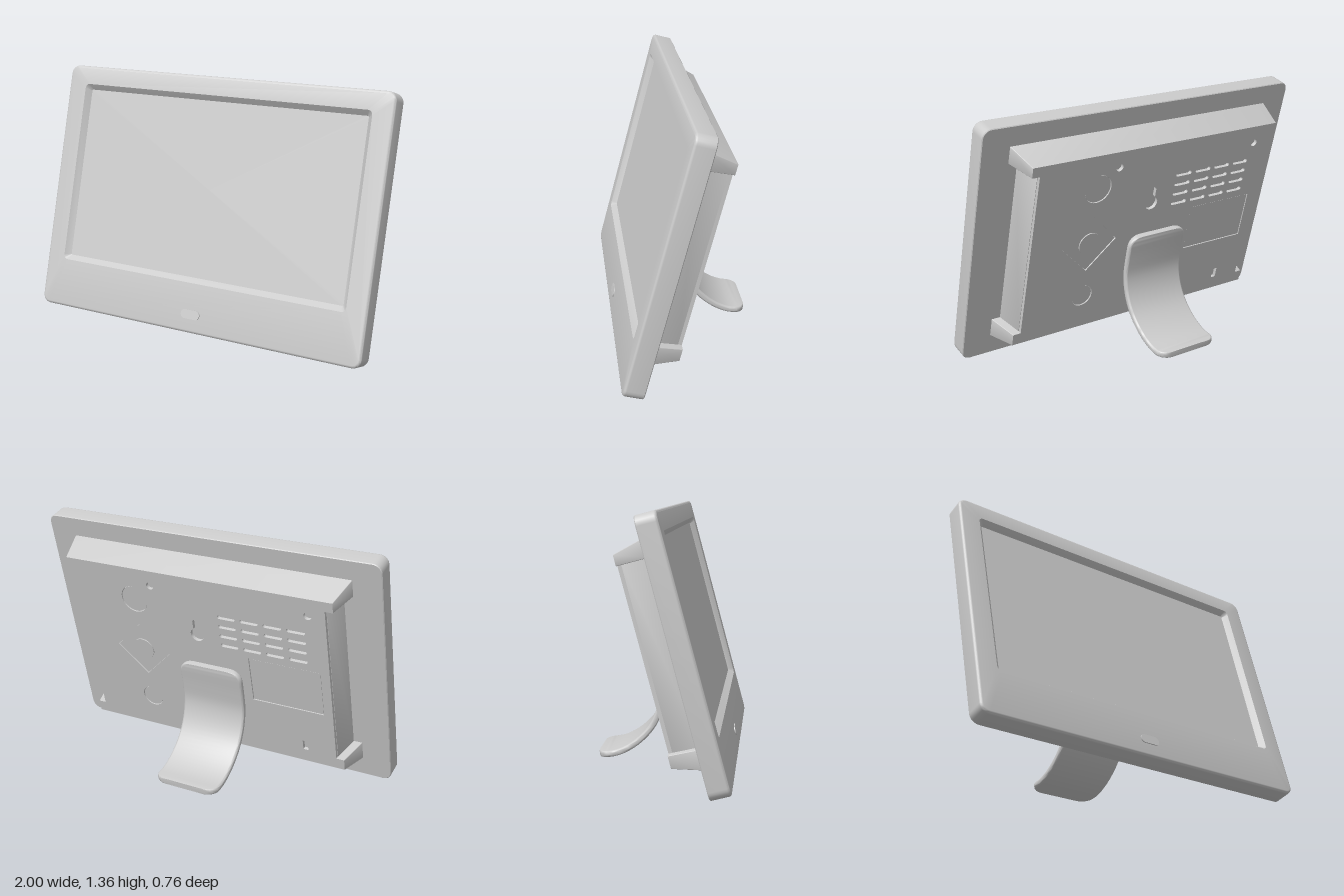
import * as THREE from 'three';
import { toCreasedNormals } from 'three/addons/utils/BufferGeometryUtils.js';

const material = new THREE.MeshStandardMaterial({ color: 0xcccccc });

function add(parent, name, geometry) {
  const mesh = new THREE.Mesh(geometry, material);
  mesh.name = name;
  parent.add(mesh);
  return mesh;
}

// Skin a series of closed rings (equal point counts) and cap both ends
function skin(rings) {
  const n = rings[0].length, pos = [], index = [];
  const center = (ring) => ring.reduce((s, p) => s.add(p), new THREE.Vector3()).divideScalar(n);
  rings.forEach((ring) => ring.forEach((p) => pos.push(p.x, p.y, p.z)));
  const last = rings.length - 1, c0 = rings.length * n, c1 = c0 + 1;
  for (const c of [center(rings[0]), center(rings[last])]) pos.push(c.x, c.y, c.z);
  for (let i = 0; i < n; i++) {
    const j = (i + 1) % n;
    for (let k = 0; k < last; k++) {
      const a = k * n + i, b = k * n + j;
      index.push(a, b, b + n, a, b + n, a + n);
    }
    index.push(c0, j, i, c1, last * n + i, last * n + j);
  }
  const g = new THREE.BufferGeometry();
  g.setAttribute('position', new THREE.Float32BufferAttribute(pos, 3));
  g.setIndex(index);
  return toCreasedNormals(g, 0.6);
}

// Rounded rectangle ring: half width, bottom, top, corner radius, depth
function rectRing(hw, y0, y1, r, z) {
  const ring = [], steps = 6;
  const corners = [[hw - r, y1 - r], [r - hw, y1 - r], [r - hw, y0 + r], [hw - r, y0 + r]];
  corners.forEach(([cx, cy], q) => {
    for (let s = 0; s <= steps; s++) {
      const a = (q + s / steps) * Math.PI / 2;
      ring.push(new THREE.Vector3(cx + r * Math.cos(a), cy + r * Math.sin(a), z));
    }
  });
  return ring;
}

// Flat outlines used for holes and inlays
function polygon(points) {
  return new THREE.Shape(points.map(([x, y]) => new THREE.Vector2(x, y)));
}
function rect(x0, y0, x1, y1) {
  return polygon([[x0, y0], [x1, y0], [x1, y1], [x0, y1]]);
}
function circle(x, y, r) {
  return new THREE.Shape().absarc(x, y, r, 0, Math.PI * 2);
}
function pill(x, y, length, height) {
  const r = height / 2, h = length / 2 - r;
  return new THREE.Shape()
    .absarc(x + h, y, r, -Math.PI / 2, Math.PI / 2)
    .absarc(x - h, y, r, Math.PI / 2, Math.PI * 1.5);
}
function keyhole(x, y) {
  return new THREE.Shape()
    .absarc(x, y - 0.025, 0.04, Math.PI * 0.65, Math.PI * 2.35)
    .absarc(x, y + 0.055, 0.018, 0, Math.PI);
}
function extrude(shape, depth, z) {
  return new THREE.ExtrudeGeometry(shape, { depth, bevelEnabled: false, curveSegments: 16 })
    .translate(0, 0, z);
}

// Curved rear stand: a rounded strip swept along its side profile
function standGeometry() {
  const curve = new THREE.CatmullRomCurve3([
    [0.622, -0.087], [0.48, -0.05], [0.375, -0.032], [0.27, -0.047],
    [0.175, -0.093], [0.088, -0.18], [0.037, -0.275], [0.021, -0.378],
  ].map(([y, z]) => new THREE.Vector3(-0.05, y, z)));
  const w = 0.19, r = 0.06, t = 0.017, length = curve.getLength(), steps = 6, sections = [];
  for (let k = 0; k <= steps; k++) {
    const a = k / steps * Math.PI / 2;
    sections.push([r * (1 - Math.cos(a)) / length, w - r + r * Math.sin(a)]);
  }
  const far = sections.map(([u, hw]) => [1 - u, hw]).reverse();
  const u0 = r / length;
  for (let k = 1; k < 24; k++) sections.push([u0 + (1 - 2 * u0) * k / 24, w]);
  const across = new THREE.Vector3(1, 0, 0);
  return skin([...sections, ...far].map(([u, hw]) => {
    const p = curve.getPointAt(u);
    const normal = curve.getTangentAt(u).cross(across);
    return rectRing(hw, -t, t, 0.012, 0).map((q) =>
      p.clone().addScaledVector(across, q.x).addScaledVector(normal, q.y));
  }));
}

export function createModel() {
  const model = new THREE.Group();
  const body = new THREE.Group();
  body.name = 'tiltedBody';
  body.position.set(0, 0.03, 0.38);
  body.rotation.x = -Math.PI / 12;
  model.add(body);

  // Frame with softened edges and a sunken screen
  const H = 1.387, R = 0.05, B = 0.014;
  const rim = (inset, z) => rectRing(1 - inset, inset, H - inset, R - inset, z);
  const frame = [rim(0.004, -0.108), rim(0, -0.104)];
  for (let k = 0; k <= 3; k++) {
    const a = k * Math.PI / 6;
    frame.push(rim(B * (1 - Math.cos(a)), B * (Math.sin(a) - 1)));
  }
  frame.push(rectRing(0.885, 0.268, 1.284, 0.025, 0), rectRing(0.857, 0.296, 1.256, 0.008, -0.03));
  add(body, 'frameAndScreen', skin(frame));
  add(body, 'frontButton', extrude(pill(0, 0.1, 0.115, 0.05), 0.008, -0.003));

  // Rear housing: end bars overhang a narrower middle
  const back = -0.275, base = -0.106, floor = -0.255, r = 0.003;
  add(body, 'topBar', skin([
    rectRing(0.802, 1.176, 1.233, r, back), rectRing(0.84, 1.178, 1.275, r, base)]));
  add(body, 'bottomBar', skin([
    rectRing(0.802, 0.156, 0.223, r, back), rectRing(0.84, 0.118, 0.226, r, base)]));
  add(body, 'housingMiddle', skin([
    rectRing(0.759, 0.215, 1.185, r, floor), rectRing(0.79, 0.215, 1.185, r, base)]));

  // Back plate with vents, wall hanger, screw holes and button pockets
  const plate = rect(-0.757, 0.222, 0.757, 1.177);
  for (let row = 0; row < 4; row++) {
    for (let col = 0; col < 4; col++) {
      plate.holes.push(pill(-0.18 - col * 0.135, 1.02 - row * 0.06, 0.105, 0.022));
    }
  }
  plate.holes.push(keyhole(0.015, 0.9));
  for (const [x, y] of [[0.27, 1.14], [-0.66, 1.13]]) plate.holes.push(circle(x, y, 0.022));
  plate.holes.push(rect(-0.592, 0.235, -0.562, 0.295));

  const discs = [[1.035, 0.082], [0.365, 0.064]];
  for (const [y, radius] of discs) plate.holes.push(circle(0.388, y, radius));
  const diamond = (s) => polygon([[0.39 + s, 0.7], [0.39, 0.7 + s], [0.39 - s, 0.7], [0.39, 0.7 - s]]);
  plate.holes.push(diamond(0.17), rect(-0.706, 0.51, -0.285, 0.785));
  add(body, 'backPlate', extrude(plate, 0.02, back));

  // Inlays sitting just below the plate surface
  for (const [y, radius] of discs) {
    add(body, 'roundButton', extrude(circle(0.388, y, radius - 0.003), 0.016, back + 0.004));
  }
  add(body, 'navigationPad', extrude(diamond(0.166), 0.016, back + 0.004));
  add(body, 'navigationButton', extrude(circle(0.39, 0.7, 0.066), 0.016, back - 0.002));
  add(body, 'labelPanel', extrude(rect(-0.703, 0.513, -0.288, 0.782), 0.017, back + 0.003));

  add(model, 'stand', standGeometry());
  return model;
}
